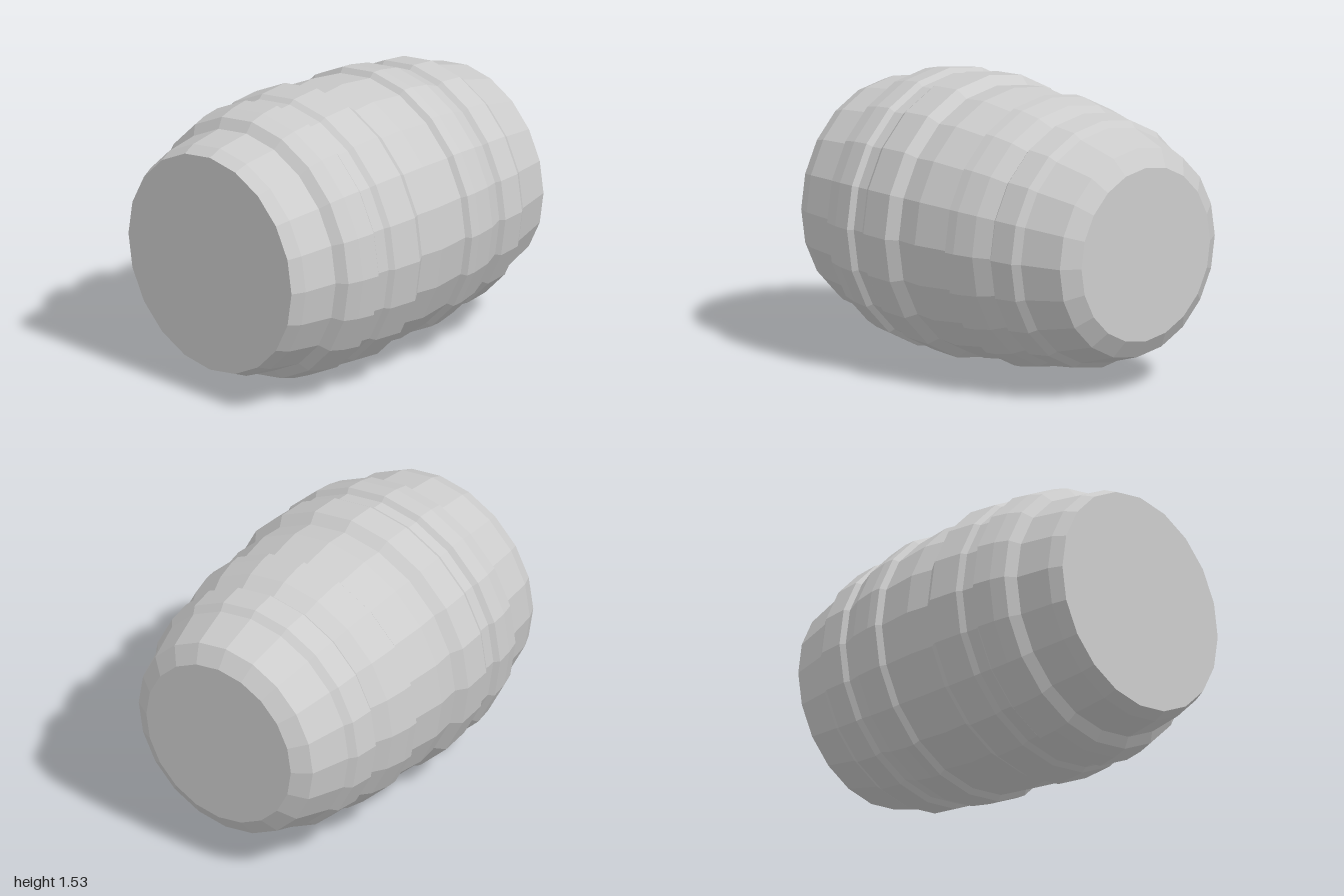
import * as THREE from 'three';

const SIDES = 20;
const AXIS_HEIGHT = 0.767;

// Each section: name and [radius, z] profile from back to front
const SECTIONS = [
  ['backHead', [[0, -1], [0.472, -1]]],
  ['backStaves', [[0.472, -1], [0.569, -0.935], [0.638, -0.71]]],
  ['backHoop', [[0.638, -0.71], [0.671, -0.67], [0.687, -0.53], [0.665, -0.505]]],
  ['rearMiddleHoop', [[0.665, -0.505], [0.708, -0.41], [0.732, -0.29], [0.735, -0.23], [0.708, -0.205]]],
  ['middleStaves', [[0.708, -0.205], [0.735, 0], [0.722, 0.135]]],
  ['frontMiddleHoop', [[0.722, 0.135], [0.767, 0.195], [0.756, 0.37], [0.735, 0.4]]],
  ['hoopGroove', [[0.735, 0.4], [0.73, 0.47]]],
  ['frontHoop', [[0.73, 0.47], [0.756, 0.495], [0.742, 0.6], [0.719, 0.685], [0.665, 0.727]]],
  ['frontStaves', [[0.665, 0.727], [0.638, 0.925], [0.606, 1]]],
  ['frontHead', [[0.606, 1], [0, 1]]],
];

export function createModel() {
  const barrel = new THREE.Group();
  barrel.name = 'barrel';
  const grey = new THREE.MeshStandardMaterial({ color: 0xcccccc, flatShading: true });
  grey.name = 'light grey';

  // Faceted rings turned around the lying barrel's axis
  for (const [name, profile] of SECTIONS) {
    const points = profile.map(([r, z]) => new THREE.Vector2(r, z));
    const geometry = new THREE.LatheGeometry(points, SIDES);
    geometry.rotateX(Math.PI / 2);
    const mesh = new THREE.Mesh(geometry, grey);
    mesh.name = name;
    mesh.position.y = AXIS_HEIGHT;
    barrel.add(mesh);
  }
  return barrel;
}
